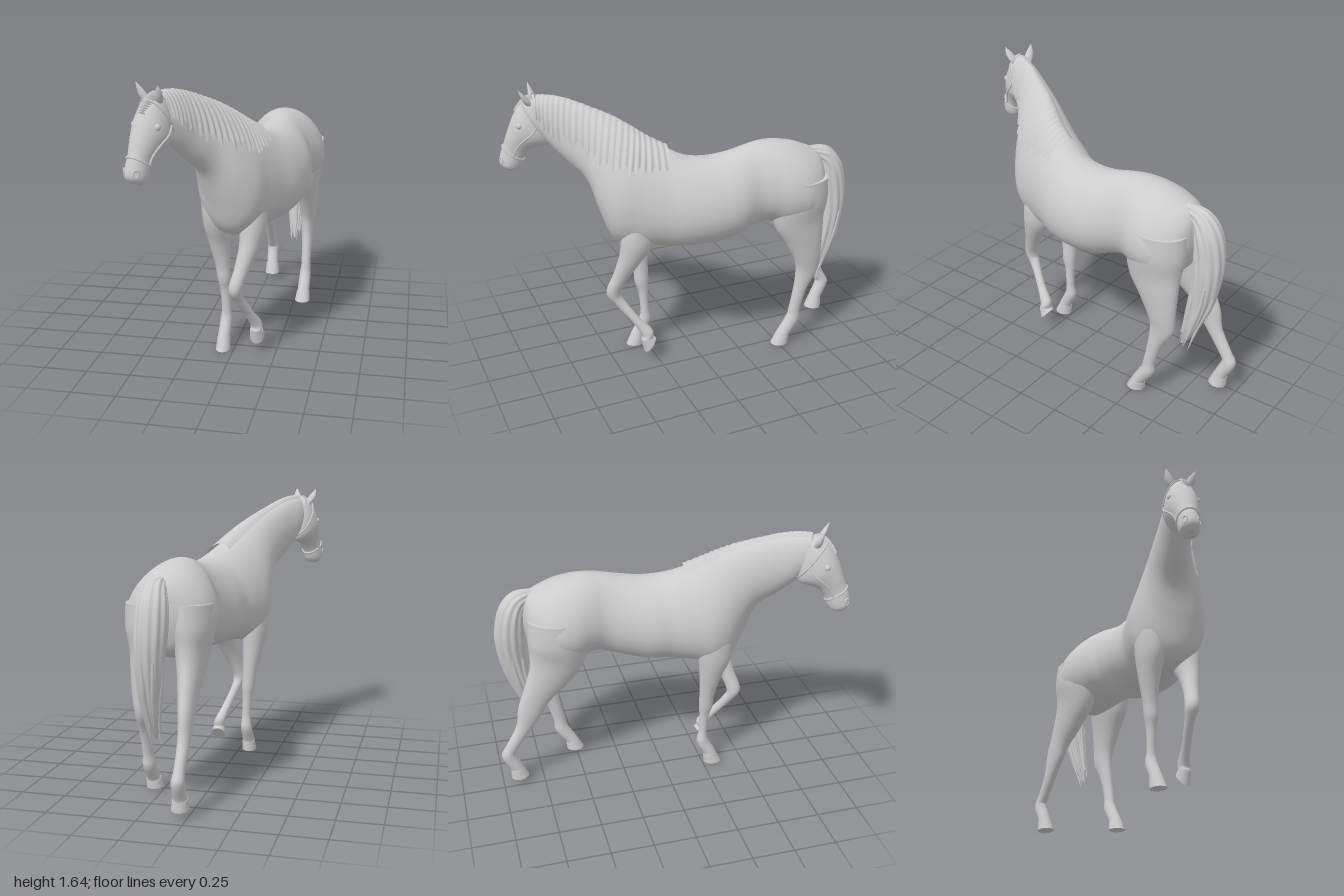
import * as THREE from 'three';

const coat = new THREE.MeshStandardMaterial({ color: 0xcccccc, side: THREE.DoubleSide });
coat.name = 'pale grey';

// A section is [top x,y,z, bottom x,y,z, half width, yaw]; at() blends sections smoothly
function at(rows, t) {
  const n = rows.length - 1, i = Math.min(Math.floor(t), n - 1), f = t - i;
  const r = (j) => rows[Math.max(0, Math.min(n, j))];
  return rows[0].map((_, c) => {
    const [a, b, d, e] = [r(i - 1)[c], r(i)[c], r(i + 1)[c], r(i + 2)[c]];
    return b + 0.5 * f * (d - a + f * (2 * a - 5 * b + 4 * d - e + f * (3 * (b - d) + e - a)));
  });
}

// Point on the outline of a section; k widens the lower part, off lifts it off the surface
function outline(row, a, k = 0, off = 0, swell = 1) {
  const top = new THREE.Vector3(row[0], row[1], row[2]);
  const low = new THREE.Vector3(row[3], row[4], row[5]);
  const mid = top.clone().add(low).multiplyScalar(0.5);
  const up = top.sub(low);
  const half = up.length() / 2;
  up.normalize();
  const side = new THREE.Vector3(Math.cos(row[7]), 0, Math.sin(row[7]));
  return mid.addScaledVector(up, (half + off) * Math.cos(a) * swell)
    .addScaledVector(side, (Math.max(row[6], 0.001) + off) * Math.sin(a) * (1 - k * Math.cos(a)) * swell);
}

function makeMesh(name, points, index) {
  const g = new THREE.BufferGeometry().setFromPoints(points);
  g.setIndex(index);
  g.computeVertexNormals();
  const m = new THREE.Mesh(g, coat);
  m.name = name;
  return m;
}

// Closed skin through a row of sections
function loft(name, rows, { k = 0, sub = 5, seg = 28, ripple = 0, waves = 0 } = {}) {
  const pts = [], idx = [], n = (rows.length - 1) * sub;
  for (let i = 0; i <= n; i++) {
    const row = at(rows, i / sub);
    for (let j = 0; j < seg; j++) {
      const a = (j / seg) * Math.PI * 2;
      pts.push(outline(row, a, k, 0, 1 + ripple * Math.sin(waves * a + i * 0.15)));
    }
  }
  for (let i = 0; i < n; i++) for (let j = 0; j < seg; j++) {
    const a = i * seg + j, b = i * seg + (j + 1) % seg;
    idx.push(a, b, a + seg, b, b + seg, a + seg);
  }
  for (const end of [0, n]) {
    const ring = pts.slice(end * seg, end * seg + seg).map((p) => p.clone());
    const centre = ring.reduce((c, p) => c.add(p), new THREE.Vector3()).divideScalar(seg);
    const s = pts.length;
    pts.push(...ring, centre);
    for (let j = 0; j < seg; j++) {
      const a = s + j, b = s + (j + 1) % seg;
      idx.push(...(end ? [a, b, s + seg] : [b, a, s + seg]));
    }
  }
  // Turn the skin outward if its volume comes out negative
  let vol = 0;
  const c = new THREE.Vector3();
  for (let i = 0; i < idx.length; i += 3) vol += c.crossVectors(pts[idx[i + 1]], pts[idx[i + 2]]).dot(pts[idx[i]]);
  if (vol < 0) idx.reverse();
  return makeMesh(name, pts, idx);
}

// Rippled sheet of hair lying over a lofted surface
function hairSheet(name, rows, s0, s1, a0, a1, k, lift) {
  const pts = [], idx = [], nu = 160, nv = 12;
  for (let i = 0; i <= nu; i++) for (let j = 0; j <= nv; j++) {
    const s = s0 + (s1 - s0) * i / nu, v = j / nv;
    const off = lift * Math.min(1, v * 5) * (1 - 0.5 * v * v) + 0.005 * Math.sin(i * 0.9 + v * 4) * v - 0.004;
    pts.push(outline(at(rows, s), a0 + (a1(s, i) - a0) * v, k, off));
  }
  for (let i = 0; i < nu; i++) for (let j = 0; j < nv; j++) {
    const a = i * (nv + 1) + j, b = a + nv + 1;
    idx.push(a, a + 1, b, b, a + 1, b + 1);
  }
  return makeMesh(name, pts, idx);
}

// Half depths and half widths shared by each pair of legs, shoulder or hip down to sole
const foreBuild = {
  depth: [.11, .1, .067, .046, .043, .03, .025, .036, .037, .055],
  width: [.085, .078, .06, .044, .039, .029, .027, .034, .035, .043],
};
const hindBuild = {
  depth: [.178, .18, .16, .123, .088, .074, .045, .036, .042, .038, .054],
  width: [.12, .122, .09, .07, .052, .042, .034, .03, .036, .038, .049],
};

// Leg along a path of x,y,z joints, sections square to the path and the sole set by its pitch
function makeLeg(name, { depth, width }, path, pitch) {
  const last = path.length - 1;
  const rows = path.map(([x, y, z], i) => {
    const p = path[Math.max(0, i - 1)], q = path[Math.min(last, i + 1)];
    const tilt = i === last ? pitch : Math.atan2(p[2] - q[2], p[1] - q[1]);
    const dz = depth[i] * Math.cos(tilt), dy = -depth[i] * Math.sin(tilt);
    return [x, y + dy, z + dz, x, y - dy, z - dz, width[i], 0];
  });
  const leg = new THREE.Group();
  leg.name = name + ' leg';
  const hoof = [at(rows, last - .8), rows[last]];
  hoof[0][6] += .002;
  leg.add(loft(name + ' limb', rows.slice(0, -1).concat([at(rows, last - .75)]), { seg: 24 }));
  leg.add(loft(name + ' hoof', hoof, { seg: 24 }));
  return leg;
}

export function createModel() {
  const horse = new THREE.Group();
  horse.name = 'horse';
  const add = (m) => (horse.add(m), m);

  // Rump and barrel: x, back y, belly y, z, half width
  const barrel = [
    [.18, 1.10, 1.02, -.79, .04], [.18, 1.18, .95, -.778, .1], [.175, 1.225, .86, -.742, .17],
    [.172, 1.255, .81, -.68, .222], [.172, 1.285, .79, -.6, .245], [.17, 1.305, .8, -.5, .238],
    [.168, 1.31, .825, -.41, .208], [.168, 1.298, .81, -.32, .19], [.165, 1.27, .77, -.2, .217],
    [.145, 1.255, .745, -.07, .232],
  ].map(([x, t, b, z, w]) => [x, t, z, x, b, z, w, 0]);
  // Withers, chest and neck
  const neck = [
    [.12, 1.27, .05, .115, .737, .09, .222, .12], [.075, 1.315, .15, .05, .735, .22, .217, .2],
    [.03, 1.37, .25, 0, .725, .34, .212, .27], [-.02, 1.425, .33, -.01, .79, .45, .195, .35],
    [-.08, 1.48, .42, -.04, .95, .51, .155, .45], [-.14, 1.525, .52, -.11, 1.12, .55, .115, .55],
    [-.2, 1.565, .62, -.185, 1.22, .64, .09, .58], [-.25, 1.585, .71, -.24, 1.31, .72, .08, .55],
    [-.285, 1.585, .78, -.27, 1.38, .77, .065, .5]];
  const trunk = barrel.concat(neck);
  add(loft('body and neck', trunk, { k: .15, seg: 48, sub: 6 }));

  // Head: forehead z,y, jaw z,y, half width
  const headX = (z) => -.31 - .46 * (z - .82);
  const head = [
    [.79, 1.6, .73, 1.47, .05], [.835, 1.585, .715, 1.38, .075], [.875, 1.54, .725, 1.32, .09],
    [.912, 1.47, .76, 1.305, .092], [.942, 1.39, .82, 1.285, .075], [.965, 1.32, .86, 1.235, .06],
    [.988, 1.25, .88, 1.18, .06], [.995, 1.2, .9, 1.157, .053], [.972, 1.163, .925, 1.148, .025],
  ].map(([dz, dy, vz, vy, w]) => [headX(dz), dy, dz, headX(vz), vy, vz, w, .43]);
  add(loft('head', head, { seg: 36, sub: 6 }));

  // Bridle straps following the head
  const strap = (name, pts, closed) => add(new THREE.Mesh(
    new THREE.TubeGeometry(new THREE.CatmullRomCurve3(pts, closed), 64, .006, 6, closed), coat)).name = name;
  const ring = (s) => Array.from({ length: 24 }, (_, j) => outline(at(head, s), j / 24 * Math.PI * 2, 0, .002));
  strap('noseband', ring(5.3), true);
  strap('browband', ring(1.5), true);
  for (const side of [1, -1]) {
    const tag = side > 0 ? 'left' : 'right';
    strap(tag + ' cheek strap', [1.5, 2.5, 3.5, 4.5, 5.3].map((s) => outline(at(head, s), side * 1.75, 0, .002)), false);

    // Eye, nostril and ear
    const eye = add(new THREE.Mesh(new THREE.SphereGeometry(.019, 16, 12), coat));
    eye.position.copy(outline(at(head, 2.8), side * 1.05, 0, -.008));
    eye.name = tag + ' eye';
    const nostril = add(new THREE.Mesh(new THREE.TorusGeometry(.014, .005, 8, 18), coat));
    nostril.position.copy(outline(at(head, 6.4), side * .75, 0, -.002));
    nostril.rotation.y = -.43 + side * .8;
    nostril.scale.y = 1.4;
    nostril.name = tag + ' nostril';
    const base = side > 0 ? [-.272, 1.545, .825] : [-.345, 1.545, .785];
    const tip = side > 0 ? [-.255, 1.645, .89] : [-.395, 1.645, .8];
    add(loft(tag + ' ear', [[0, .018, .02], [.3, .018, .027], [.65, .011, .02], [1, .001, .001]].map(([t, d, w]) => {
      const [x, y, z] = base.map((b, i) => b + (tip[i] - b) * t);
      return [x - d * .4, y, z + d, x + d * .4, y, z - d, w, .43];
    }), { seg: 16 }));
  }

  // Mane falling over the left of the neck, and forelock
  const fall = [.08, .14, .19, .2, .2, .19, .16, .1].map((d) => [d]);
  add(hairSheet('mane', trunk, 11, 18, -.3, (s, i) => {
    const r = at(trunk, s), half = Math.hypot(r[0] - r[3], r[1] - r[4], r[2] - r[5]) / 2;
    const drop = at(fall, s - 11)[0] * (1 + .1 * Math.sin(i * .8) + .07 * Math.sin(i * .37));
    return Math.acos(1 - drop / half);
  }, .15, .026));
  add(hairSheet('forelock', head, .3, 2.6, -.25, (s, i) => .75 - .22 * s + .08 * Math.sin(i * .5), 0, .012));

  // Legs in mid stride: left fore lifted, right hind trailing
  add(makeLeg('right front', foreBuild, [
    [-.1, .98, .31], [-.1, .8, .3], [-.09, .66, .278], [-.073, .52, .266], [-.065, .43, .263],
    [-.06, .36, .256], [-.055, .24, .251], [-.056, .17, .249], [-.061, .09, .288], [-.063, .005, .315]], 0));
  add(makeLeg('left front', foreBuild, [
    [.11, .98, .31], [.12, .8, .35], [.11, .685, .395], [.075, .56, .445], [.044, .45, .48],
    [.055, .38, .445], [.1, .265, .365], [.13, .185, .307], [.134, .15, .308], [.136, .1, .292]], .88));
  add(makeLeg('left hind', hindBuild, [
    [.29, 1.09, -.6], [.29, .96, -.603], [.3, .83, -.605], [.31, .72, -.638], [.315, .59, -.665],
    [.311, .495, -.668], [.312, .385, -.632], [.312, .245, -.598], [.31, .175, -.587],
    [.307, .09, -.533], [.303, .015, -.505]], 0));
  add(makeLeg('right hind', hindBuild, [
    [.055, 1.09, -.6], [.05, .95, -.607], [.045, .83, -.63], [.04, .725, -.685], [.035, .615, -.757],
    [.03, .51, -.808], [.03, .395, -.857], [.032, .272, -.932], [.034, .218, -.957],
    [.037, .13, -.918], [.039, .05, -.897]], -.08));

  // Tail: outer z,y, inner z,y, x, half width, with ridged strands and loose locks at the tip
  const tail = [[-.72, 1.24, -.74, 1.16, .185, .03], [-.835, 1.225, -.775, 1.12, .188, .06],
    [-.92, 1.135, -.785, 1.04, .19, .082], [-.957, .98, -.79, .93, .195, .084], [-.95, .83, -.79, .8, .205, .075],
    [-.915, .68, -.775, .65, .21, .06], [-.85, .52, -.75, .48, .215, .042], [-.765, .38, -.738, .37, .215, .008],
  ].map(([oz, oy, iz, iy, x, w]) => [x, oy, oz, x, iy, iz, w, 0]);
  add(loft('tail', tail, { seg: 66, sub: 6, ripple: .05, waves: 11 }));
  for (let i = 0; i < 7; i++) {
    const a = i * .9 + .3, end = .34 + .035 * (i % 4);
    const lock = [4, 5, 6].map((s) => outline(at(tail, s), a, 0, -.004));
    lock.push(new THREE.Vector3(.215 + .03 * Math.sin(a), end, -.76 - .03 * Math.cos(a)));
    add(loft('tail lock', lock.map((p, j) => {
      const r = [.008, .014, .011, .001][j];
      return [p.x, p.y, p.z + r, p.x, p.y, p.z - r, r, 0];
    }), { seg: 8 }));
  }
  return horse;
}
